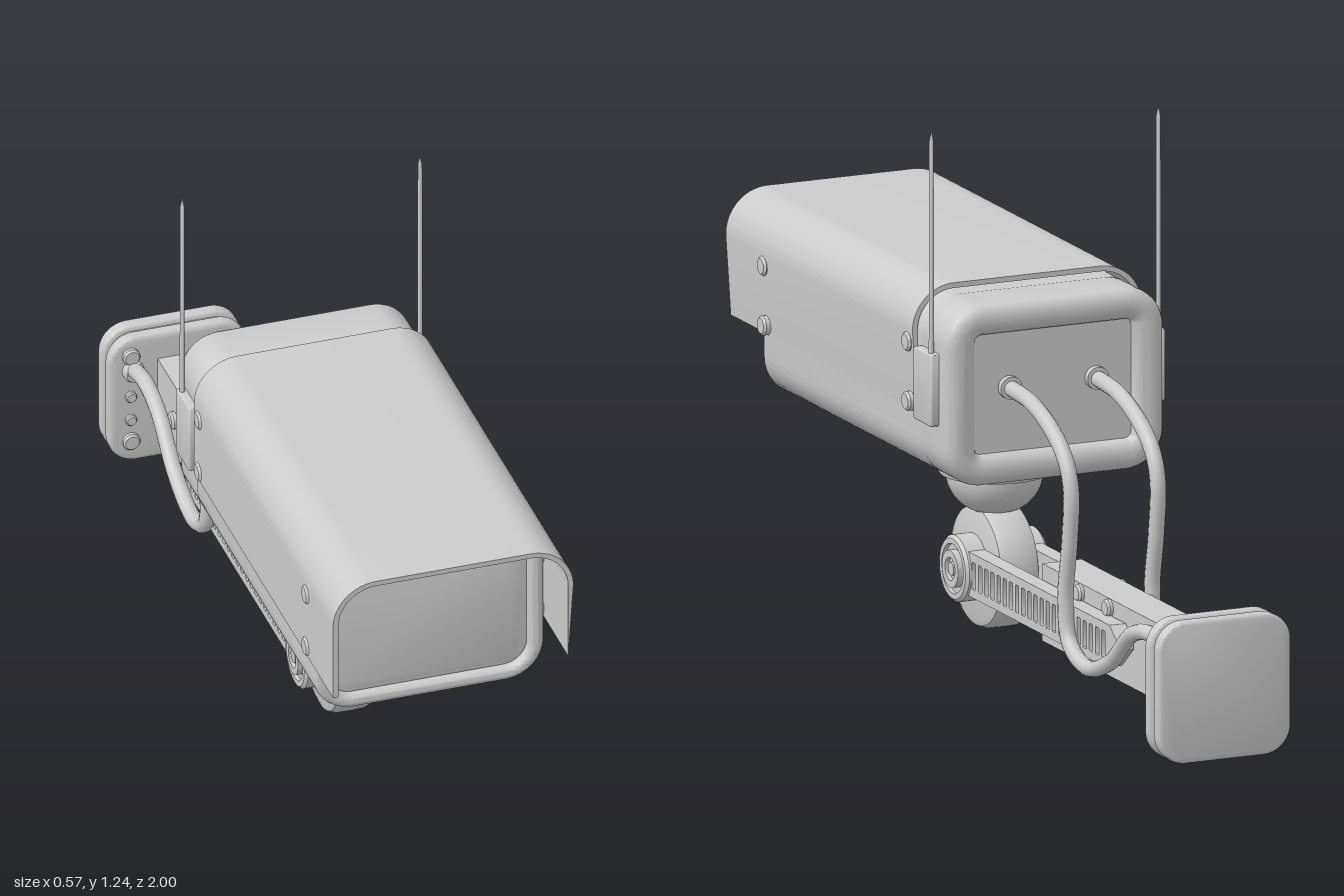
import * as THREE from 'three';
import { toCreasedNormals } from 'three/addons/utils/BufferGeometryUtils.js';

const mat = new THREE.MeshStandardMaterial({ color: 0xcccccc });
const SIDES = [-1, 1];

function roundRect(w, h, r, cx = 0, cy = 0, Type = THREE.Shape) {
  const s = new Type(), x = w / 2 - r, y = h / 2 - r;
  s.moveTo(cx + x, cy - y - r);
  s.absarc(cx + x, cy - y, r, -Math.PI / 2, 0);
  s.absarc(cx + x, cy + y, r, 0, Math.PI / 2);
  s.absarc(cx - x, cy + y, r, Math.PI / 2, Math.PI);
  s.absarc(cx - x, cy - y, r, Math.PI, Math.PI * 1.5);
  s.closePath();
  return s;
}

// Extrusion centred on z = 0, with its bevel kept inside the outline
function slab(shape, depth, bevel = 0) {
  const g = new THREE.ExtrudeGeometry(shape, {
    depth: depth - 2 * bevel, bevelEnabled: bevel > 0, bevelSize: bevel, bevelThickness: bevel,
    bevelOffset: -bevel, bevelSegments: 5, curveSegments: 10,
  });
  g.translate(0, 0, bevel - depth / 2);
  return toCreasedNormals(g, 0.6);
}

function lathe(points, segments = 40) {
  const g = new THREE.LatheGeometry(points.map(([r, y]) => new THREE.Vector2(r, y)), segments);
  return toCreasedNormals(g, 0.6);
}

export function createModel() {
  const root = new THREE.Group();
  const add = (name, geometry, x = 0, y = 0, z = 0, parent = root) => {
    const m = new THREE.Mesh(geometry, mat);
    m.name = name;
    m.position.set(x, y, z);
    parent.add(m);
    return m;
  };
  // Round bolt head whose axis lies along x or z
  const bolt = (name, r, len, axis, x, y, z) => {
    const g = lathe([[0, -len / 2], [r, -len / 2], [r, len / 4], [r * 0.8, len / 2], [0, len / 2]], 20);
    if (axis === 'x') g.rotateZ(x > 0 ? -Math.PI / 2 : Math.PI / 2);
    else g.rotateX(Math.PI / 2);
    return add(name, g, x, y, z);
  };

  // Housing: front shell with a thin rim, rear shell with a wide rim, inset panels
  const frontShell = roundRect(0.53, 0.41, 0.09);
  frontShell.holes.push(roundRect(0.46, 0.345, 0.055, 0, 0, THREE.Path));
  add('housingFront', slab(frontShell, 0.84, 0.015), 0, 0.64, 0.42);
  const rearShell = roundRect(0.53, 0.41, 0.09);
  rearShell.holes.push(roundRect(0.38, 0.27, 0.015, 0, 0, THREE.Path));
  add('housingRear', slab(rearShell, 0.16, 0.03), 0, 0.64, -0.047);
  add('frontWindow', slab(roundRect(0.47, 0.355, 0.06), 0.04, 0.01), 0, 0.64, 0.8);
  add('rearPanel', new THREE.BoxGeometry(0.4, 0.29, 0.02), 0, 0.64, -0.09);

  // Sunshade: folded sheet open underneath
  const shade = new THREE.Shape();
  const [ow, iw, bottom, top, t, r] = [0.278, 0.266, 0.58, 0.864, 0.012, 0.1];
  shade.moveTo(ow, bottom);
  shade.absarc(ow - r, top - r, r, 0, Math.PI / 2);
  shade.absarc(r - ow, top - r, r, Math.PI / 2, Math.PI);
  shade.lineTo(-ow, bottom);
  shade.lineTo(-iw, bottom);
  shade.absarc(r - ow, top - r, r - t, Math.PI, Math.PI / 2, true);
  shade.absarc(ow - r, top - r, r - t, Math.PI / 2, 0, true);
  shade.lineTo(iw, bottom);
  shade.closePath();
  add('sunshade', slab(shade, 0.97), 0, 0, 0.515);

  for (const s of SIDES) {
    for (const z of [0.06, 0.81])
      for (const y of [0.6, 0.735]) bolt('shadeScrew', 0.022, 0.02, 'x', s * 0.273, y, z);

    // Antenna with its side box
    const box = slab(roundRect(0.095, 0.165, 0.008), 0.03, 0.006);
    box.rotateY(Math.PI / 2);
    add('antennaBox', box, s * 0.27, 0.654, -0.033);
    add('antenna', lathe([[0, 0], [0.006, 0], [0.005, 0.54], [0, 0.565]], 12), s * 0.275, 0.675, -0.062);
  }

  // Swivel mount under the housing
  const plate = slab(roundRect(0.32, 0.32, 0.05), 0.02, 0.004);
  plate.rotateX(Math.PI / 2);
  add('mountPlate', plate, 0, 0.428, 0.205);
  for (const x of SIDES) for (const z of SIDES)
    add('mountScrew', new THREE.CylinderGeometry(0.016, 0.016, 0.01, 16), x * 0.125, 0.416, 0.205 + z * 0.125);
  const cup = [[0, 0.285], [0.03, 0.287]];
  for (let i = 1; i <= 8; i++) {
    const a = (0.3 + 0.7 * i / 8) * Math.PI / 2;
    cup.push([0.108 * Math.sin(a), 0.38 - 0.095 * Math.cos(a)]);
  }
  cup.push([0.122, 0.38], [0.125, 0.385], [0.125, 0.405], [0.115, 0.412], [0.1, 0.412], [0.1, 0.425], [0, 0.425]);
  add('swivelCup', lathe(cup), 0, 0, 0.2);

  // Pivot wheel and hubs
  const wheel = lathe([[0, -0.05], [0.12, -0.05], [0.133, -0.045], [0.139, -0.03], [0.14, 0],
    [0.139, 0.03], [0.133, 0.045], [0.12, 0.05], [0, 0.05]], 48);
  wheel.rotateZ(Math.PI / 2);
  add('pivotWheel', wheel, 0, 0.17, 0.2);
  for (const s of SIDES) {
    const hub = lathe([[0, 0.03], [0.075, 0.03], [0.075, 0.095], [0.068, 0.102], [0.056, 0.102], [0.056, 0.092],
      [0.042, 0.092], [0.042, 0.108], [0.026, 0.108], [0.026, 0.098], [0.015, 0.098], [0.015, 0.106], [0, 0.106]]);
    hub.rotateZ(-s * Math.PI / 2);
    add('pivotHub', hub, 0, 0.17, 0.2);

    // Side arm: solid bar under a slotted cover
    const outline = () => {
      const p = new THREE.Shape();
      p.moveTo(-0.2, 0.12);
      p.lineTo(0.57, 0.12);
      p.lineTo(0.63, 0.17);
      p.lineTo(0.63, 0.19);
      p.lineTo(0.59, 0.22);
      p.lineTo(-0.2, 0.22);
      p.closePath();
      return p;
    };
    const cover = outline();
    for (let i = 0; i < 22; i++)
      cover.holes.push(roundRect(0.018, 0.062, 0.004, -0.115 + i * 0.032, 0.17, THREE.Path));
    const bar = slab(outline(), 0.025), skin = slab(cover, 0.014);
    bar.rotateY(Math.PI / 2);
    skin.rotateY(Math.PI / 2);
    add('sideArm', bar, s * 0.063, 0, 0);
    add('slottedCover', skin, s * 0.0825, 0, 0);
  }

  // Central beam with its bolts
  add('beam', new THREE.BoxGeometry(0.095, 0.175, 0.79), 0, 0.168, -0.545);
  for (const s of SIDES) for (const z of [-0.35, -0.5, -0.8])
    bolt('beamBolt', 0.02, 0.02, 'x', s * 0.05, z < -0.7 ? 0.168 : 0.235, z);

  // Wall plate: two rounded slabs around a narrower core
  add('wallPlateFront', slab(roundRect(0.32, 0.32, 0.065), 0.032, 0.01), 0, 0.16, -0.936);
  add('wallPlateCore', slab(roundRect(0.295, 0.295, 0.055), 0.04), 0, 0.16, -0.96);
  add('wallPlateBack', slab(roundRect(0.32, 0.32, 0.065), 0.034, 0.008), 0, 0.16, -0.983);
  for (const s of SIDES) {
    for (const y of [0.055, 0.275]) bolt('wallScrew', 0.02, 0.02, 'z', s * 0.11, y, -0.917);
    for (const y of [0.11, 0.17]) bolt('smallWallScrew', 0.013, 0.014, 'z', s * 0.11, y, -0.917);

    // Cable looping from the housing to the wall plate
    const path = [[0.65, -0.08], [0.648, -0.13], [0.64, -0.22], [0.605, -0.32], [0.55, -0.395], [0.487, -0.423],
      [0.37, -0.415], [0.235, -0.394], [0.145, -0.413], [0.107, -0.5], [0.145, -0.624], [0.235, -0.74],
      [0.258, -0.838], [0.238, -0.93]].map(([y, z]) => new THREE.Vector3(s * 0.105, y, z));
    add('cable', new THREE.TubeGeometry(new THREE.CatmullRomCurve3(path), 90, 0.018, 12));
    bolt('cableSocket', 0.026, 0.04, 'z', s * 0.105, 0.65, -0.095);
    bolt('cableSocket', 0.025, 0.03, 'z', s * 0.105, 0.237, -0.915);
  }
  return root;
}
